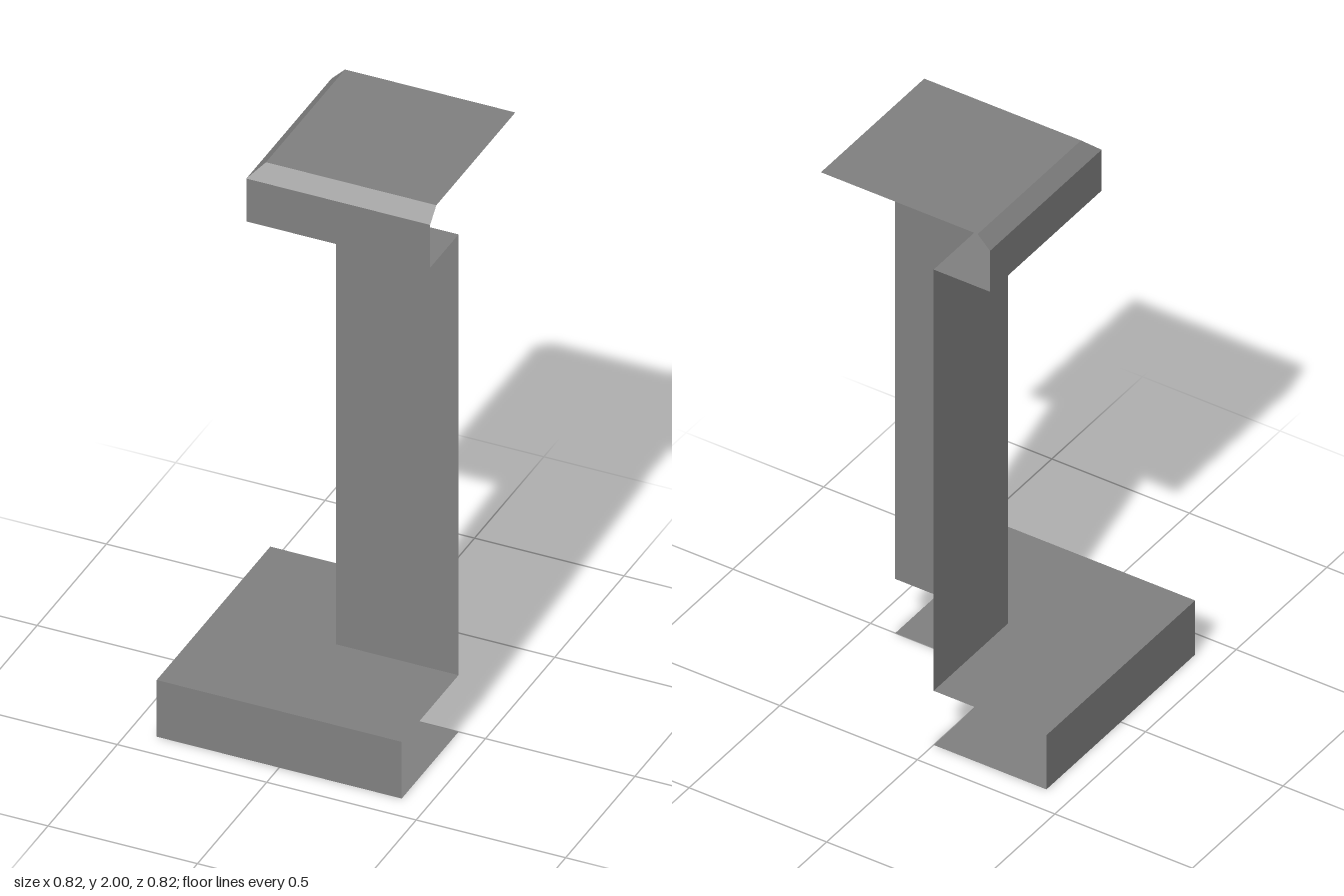
import * as THREE from 'three';

const H = 0.41; // half width of the footprint; the two sides at +x and -z stay open

const stone = new THREE.MeshStandardMaterial({ color: 0x808080, side: THREE.DoubleSide });
stone.name = 'grey stone';

// Sweeps a profile of [offset, y] points along the left side and round the corner to the front.
function cornerSweep(name, profile) {
  const sections = profile.map(([o, y]) => [[-o, y, -H], [-o, y, o], [H, y, o]]);
  const positions = [];
  for (let i = 0; i < sections.length - 1; i++) {
    const low = sections[i], high = sections[i + 1];
    for (let j = 0; j < 2; j++) {
      const [a, b, c, d] = [low[j], low[j + 1], high[j + 1], high[j]];
      positions.push(...a, ...b, ...c, ...a, ...c, ...d);
    }
  }
  const geometry = new THREE.BufferGeometry();
  geometry.setAttribute('position', new THREE.Float32BufferAttribute(positions, 3));
  geometry.computeVertexNormals();
  const mesh = new THREE.Mesh(geometry, stone);
  mesh.name = name;
  return mesh;
}

export function createModel() {
  const group = new THREE.Group();
  group.name = 'cornerPillar';

  // Plinth: L-shaped underside, outer walls and L-shaped ledge
  group.add(cornerSweep('base', [[0, 0], [H, 0], [H, 0.205], [0, 0.205]]));

  // Tall shaft
  group.add(cornerSweep('shaft', [[0, 0.205], [0, 1.8]]));

  // Overhanging cap with a bevelled rim
  group.add(cornerSweep('cap', [[0, 1.8], [0.205, 1.8], [0.205, 1.955], [0.16, 2]]));

  // Flat top of the cap
  const size = H + 0.16;
  const top = new THREE.Mesh(new THREE.PlaneGeometry(size, size).rotateX(-Math.PI / 2), stone);
  top.name = 'capTop';
  top.position.set((H - 0.16) / 2, 2, (0.16 - H) / 2);
  group.add(top);

  return group;
}
